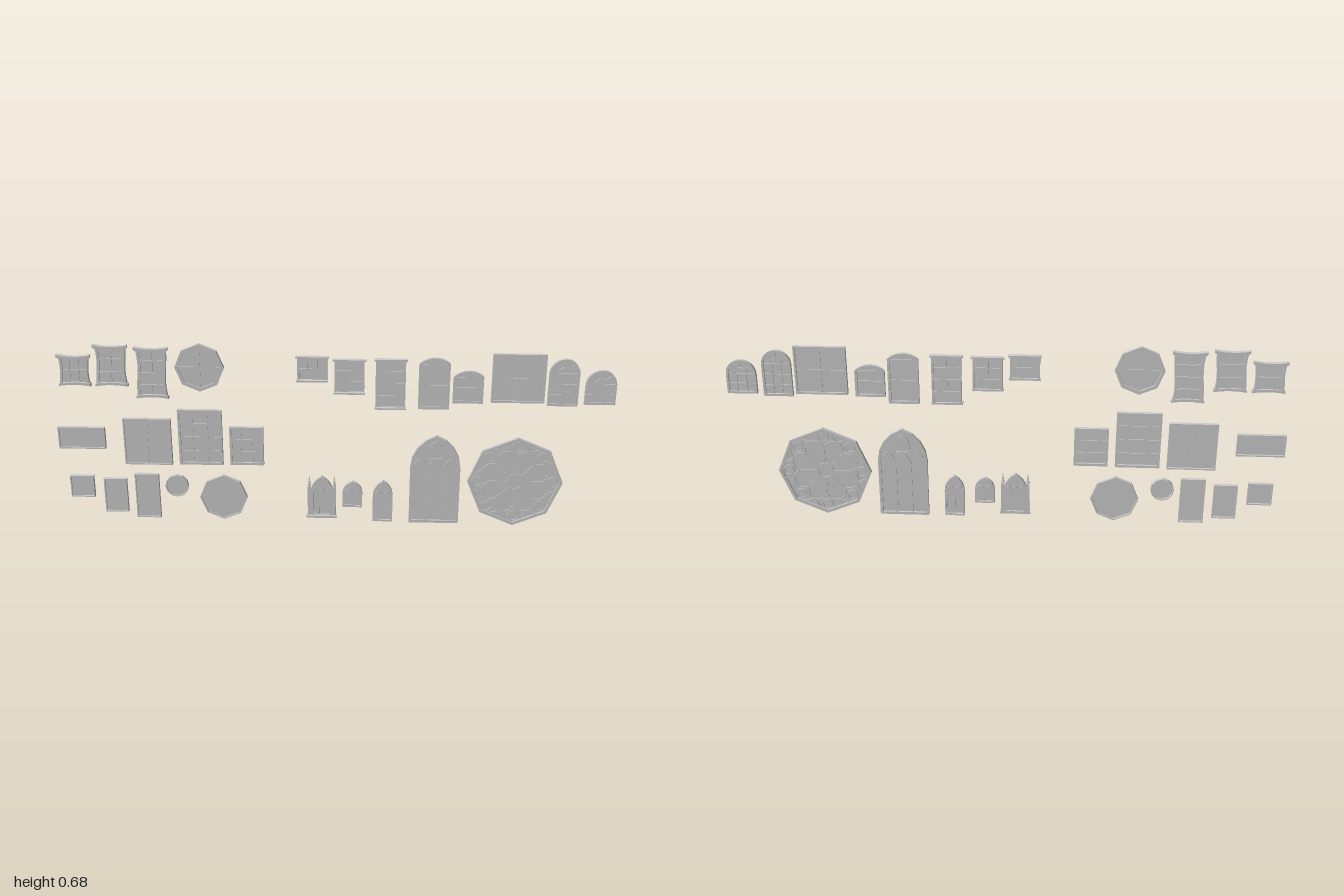
import * as THREE from 'three';

const mat = new THREE.MeshStandardMaterial({ color: 0xcccccc, flatShading: true, side: THREE.DoubleSide });
const BACK = -0.011, FRONT = 0.004, GLASS = -0.003;

function add(parent, geo, name, x = 0, y = 0, z = 0) {
  const m = new THREE.Mesh(geo, mat);
  m.name = name;
  m.position.set(x, y, z);
  parent.add(m);
  return m;
}
const box = (p, name, w, h, x, y, z0 = -0.007, z1 = 0.001) =>
  add(p, new THREE.BoxGeometry(w, h, z1 - z0), name, x, y, (z0 + z1) / 2);

// Outlines: functions of an inset, standing on y = 0 and centred on x = 0
const rect = (w, h) => i => [[-w / 2 + i, i], [w / 2 - i, i], [w / 2 - i, h - i], [-w / 2 + i, h - i]];
const polygon = (r, n) => i => Array.from({ length: n }, (_, k) => {
  const a = Math.PI / 2 + k * 2 * Math.PI / n, q = r - i / Math.cos(Math.PI / n);
  return [Math.cos(a) * q, r + Math.sin(a) * q];
});
const arched = (w, h, rise, n = 8) => i => { // round or segmental head
  const a = w / 2, R = (a * a + rise * rise) / (2 * rise), cy = h - R;
  const end = Math.asin(Math.min(1, (a - i) / (R - i)));
  const pts = [[-a + i, i], [a - i, i]];
  for (let k = 0; k <= n; k++) {
    const t = end - 2 * end * k / n;
    pts.push([Math.sin(t) * (R - i), cy + Math.cos(t) * (R - i)]);
  }
  return pts;
};
const pointed = (w, h, rise, n = 4) => i => { // two arcs meeting at an apex
  const a = w / 2, R = (a * a + rise * rise) / (2 * a), c = R - a;
  const end = Math.acos(c / (R - i)), right = [];
  for (let k = 0; k <= n; k++) {
    const t = end * k / n;
    right.push([Math.cos(t) * (R - i) - c, h - rise + Math.sin(t) * (R - i)]);
  }
  const left = right.slice(0, -1).reverse().map(([x, y]) => [-x, y]);
  return [[-a + i, i], [a - i, i], ...right, ...left];
};

const vecs = pts => pts.map(p => new THREE.Vector2(p[0], p[1]));
function frame(p, outline, t, name = 'frame', z0 = BACK, z1 = FRONT, x = 0, y = 0) {
  const s = new THREE.Shape(vecs(outline(0)));
  s.holes.push(new THREE.Path(vecs(outline(t))));
  return add(p, new THREE.ExtrudeGeometry(s, { depth: z1 - z0, bevelEnabled: false }), name, x, y, z0);
}
// Ring or part of a ring, used for hub, petals and fan tracery
function arc(p, name, r, t, x, y, a0 = 0, a1 = Math.PI * 2) {
  const s = new THREE.Shape();
  s.absarc(0, 0, r, a0, a1, false);
  if (a1 - a0 > 6.2) s.holes.push(new THREE.Path().absarc(0, 0, r - t, 0, Math.PI * 2, true));
  else s.absarc(0, 0, r - t, a1, a0, true);
  return add(p, new THREE.ExtrudeGeometry(s, { depth: 0.009, bevelEnabled: false, curveSegments: 8 }), name, x, y, -0.0075);
}
function spoke(p, name, x, y, a, r0, r1, t) {
  const m = box(p, name, r1 - r0, t, x + Math.cos(a) * (r0 + r1) / 2, y + Math.sin(a) * (r0 + r1) / 2);
  m.rotation.z = a;
}
function makeWindow(root, name, x, y, outline, t = 0.007, z1 = FRONT) {
  const g = new THREE.Group();
  g.name = name;
  g.position.set(x, y, 0);
  root.add(g);
  frame(g, outline, t, 'frame', BACK, z1);
  const pane = new THREE.ExtrudeGeometry(new THREE.Shape(vecs(outline(t * 0.8))), { depth: 0.001, bevelEnabled: false });
  add(g, pane, 'glass', 0, 0, GLASS);
  return g;
}
function grid(g, w, h, cols, rows, t = 0.004) {
  for (let c = 1; c < cols; c++) box(g, 'mullion', t, h - 0.004, -w / 2 + w * c / cols, h / 2);
  for (let r = 1; r < rows; r++) box(g, 'glazingBar', w - 0.004, t, 0, h * r / rows, -0.0065, 0.0005);
}
function lancets(g, n, w, h, rise, y = 0.003, t = 0.004) {
  const step = w / n;
  for (let k = 0; k < n; k++)
    frame(g, pointed(step + t / 2, h, rise), t, 'lancet', -0.008, 0.002, (k - (n - 1) / 2) * step, y);
}

// Crooked timber window: straight pieces bent by one shared rule
function crooked(root, x, y, w, h, cols, rows, sway) {
  const g = new THREE.Group();
  g.name = 'crookedWindow';
  g.position.set(x, y, 0);
  root.add(g);
  const piece = (name, pw, ph, px, py, z0, z1) => {
    const geo = new THREE.BoxGeometry(pw, ph, z1 - z0, 6, 6, 1);
    geo.translate(px, py, (z0 + z1) / 2);
    const pos = geo.attributes.position;
    for (let k = 0; k < pos.count; k++) {
      const u = pos.getX(k) / (w / 2), v = pos.getY(k) / h * 2 - 1;
      pos.setX(k, pos.getX(k) * (0.9 + 0.1 * v * v) + sway * Math.sin(v * 3));
      pos.setY(k, pos.getY(k) + 0.006 * v * (u * u - 1));
    }
    add(g, geo, name);
  };
  const bw = w * 0.9, t = 0.01;
  piece('glass', bw, h - t, 0, h / 2, GLASS, GLASS + 0.001);
  for (const s of [-1, 1]) piece('post', t, h - t, s * (bw - t) / 2, h / 2, BACK, 0.004);
  piece('lintel', w, t * 1.1, 0, h - t / 2, BACK, 0.008);
  piece('sill', w * 0.95, t, 0, t / 2, BACK, 0.008);
  for (let c = 1; c < cols; c++) piece('mullion', 0.005, h - t, bw * (c / cols - 0.5), h / 2, -0.008, 0.002);
  for (let r = 1; r < rows; r++) piece('glazingBar', bw - t, 0.005, 0, h * r / rows, -0.008, 0.002);
}

export function createModel() {
  const root = new THREE.Group();
  root.name = 'windowCollection';

  // Crooked timber windows
  crooked(root, -0.919, 0.529, 0.122, 0.116, 3, 2, 0.001);
  crooked(root, -0.785, 0.53, 0.123, 0.153, 2, 3, 0.002);
  crooked(root, -0.641, 0.486, 0.122, 0.19, 2, 4, 0.003);

  // Octagonal window with a cross
  const oct = makeWindow(root, 'octagonalWindow', -0.47, 0.515, polygon(0.088, 8), 0.011);
  grid(oct, 0.165, 0.176, 2, 2, 0.006);

  // Rectangular windows: centre x, base y, width, height, columns, rows, frame width
  for (const [x, y, w, h, c, r, t] of [
    [-0.914, 0.286, 0.172, 0.083, 1, 1, 0.005], [-0.672, 0.227, 0.174, 0.179, 2, 1, 0.005],
    [-0.478, 0.23, 0.16, 0.213, 3, 4, 0.009], [-0.31, 0.232, 0.123, 0.147, 3, 3, 0.009],
    [-0.928, 0.091, 0.088, 0.085, 1, 1, 0.004], [-0.804, 0.032, 0.085, 0.134, 1, 1, 0.004],
    [-0.685, 0.011, 0.089, 0.176, 1, 1, 0.004], [0.657, 0.489, 0.187, 0.179, 2, 2, 0.007],
  ]) grid(makeWindow(root, 'rectangularWindow', x, y, rect(w, h), t), w, h, c, r);

  // Plain round and octagonal panes
  makeWindow(root, 'roundWindow', -0.574, 0.099, polygon(0.043, 12), 0.004);
  makeWindow(root, 'plainOctagonWindow', -0.401, 0.011, polygon(0.088, 8), 0.004);

  // Windows with projecting head and sill
  for (const [x, y, w, h, c, r] of [
    [-0.069, 0.559, 0.106, 0.091, 3, 2], [0.062, 0.515, 0.106, 0.126, 2, 3], [0.208, 0.46, 0.106, 0.184, 2, 4],
  ]) {
    const g = makeWindow(root, 'silledWindow', x, y, rect(w, h), 0.007, 0.002);
    grid(g, w, h, c, r);
    box(g, 'sill', w + 0.006, 0.006, 0, 0.003, BACK, 0.014);
    box(g, 'head', w + 0.012, 0.006, 0, h - 0.003, BACK, 0.008);
  }

  // Sash windows with a low curved head
  for (const [x, y, w, h, bar] of [[0.362, 0.46, 0.11, 0.19, 0.085], [0.482, 0.484, 0.107, 0.12, 0.055]]) {
    const g = makeWindow(root, 'sashWindow', x, y, arched(w, h, 0.022), 0.009, 0.002);
    box(g, 'meetingRail', w - 0.006, 0.007, 0, bar);
    box(g, 'headRail', w - 0.006, 0.006, 0, h - 0.026);
  }

  // Round-headed windows with a fan of bars
  for (const [x, y, w, h, rows] of [[0.815, 0.479, 0.106, 0.173, 3], [0.945, 0.486, 0.108, 0.127, 2]]) {
    const g = makeWindow(root, 'fanlightWindow', x, y, arched(w, h, w / 2 - 0.001, 12), 0.008, 0.002);
    const spring = h - w / 2;
    grid(g, w - 0.006, spring, 3, rows);
    box(g, 'transom', w - 0.006, 0.005, 0, spring);
    arc(g, 'fanArc', 0.024, 0.004, 0, spring, 0, Math.PI);
    for (let k = 1; k < 4; k++) spoke(g, 'fanBar', 0, spring, k * Math.PI / 4, 0.022, w / 2 - 0.003, 0.004);
  }

  // Gothic window between pinnacled buttresses
  const gothic = makeWindow(root, 'gothicWindow', -0.037, 0.029, pointed(0.084, 0.161, 0.07, 6), 0.008);
  lancets(gothic, 3, 0.076, 0.112, 0.032);
  for (const s of [-1, 1]) {
    box(gothic, 'buttress', 0.012, 0.12, s * 0.046, 0.06, BACK, 0.005);
    const spire = add(gothic, new THREE.ConeGeometry(0.0085, 0.043, 4, 1).rotateY(Math.PI / 4), 'pinnacle', s * 0.046, 0.1415, -0.003);
    spire.scale.z = 1.2;
    box(gothic, 'innerShaft', 0.005, 0.118, s * 0.034, 0.059, -0.008, 0.007);
  }
  box(gothic, 'sill', 0.114, 0.008, 0, 0.002, BACK, 0.014);

  // Pointed windows
  lancets(makeWindow(root, 'smallPointedWindow', 0.076, 0.069, pointed(0.073, 0.102, 0.046), 0.006), 2, 0.064, 0.07, 0.026);
  lancets(makeWindow(root, 'tallPointedWindow', 0.188, 0.013, pointed(0.073, 0.163, 0.06), 0.006), 2, 0.064, 0.122, 0.032);
  const great = makeWindow(root, 'greatPointedWindow', 0.377, 0.011, pointed(0.182, 0.347, 0.125), 0.01);
  lancets(great, 3, 0.168, 0.255, 0.055, 0.004, 0.005);
  frame(great, pointed(0.056, 0.075, 0.05), 0.005, 'upperLight', -0.008, 0.002, 0, 0.252);

  // Rose window
  const R = 0.173, rose = makeWindow(root, 'roseWindow', 0.668, 0.008, polygon(R, 8), 0.011);
  arc(rose, 'hub', 0.033, 0.008, 0, R);
  for (let k = 0; k < 8; k++) {
    const a = Math.PI / 2 + k * Math.PI / 4, b = a + Math.PI / 8;
    const at = (d, q) => [Math.cos(q) * d, R + Math.sin(q) * d];
    spoke(rose, 'spoke', 0, R, a, 0.03, 0.096, 0.006);
    arc(rose, 'petalHead', 0.039, 0.006, ...at(0.09, b), b - Math.PI / 2, b + Math.PI / 2);
    arc(rose, 'outerRoundel', 0.021, 0.005, ...at(0.137, a));
    for (const s of [-1, 1]) spoke(rose, 'outerBar', ...at(0.126, b), b + s * 0.9, 0, 0.045, 0.005);
  }
  return root;
}
